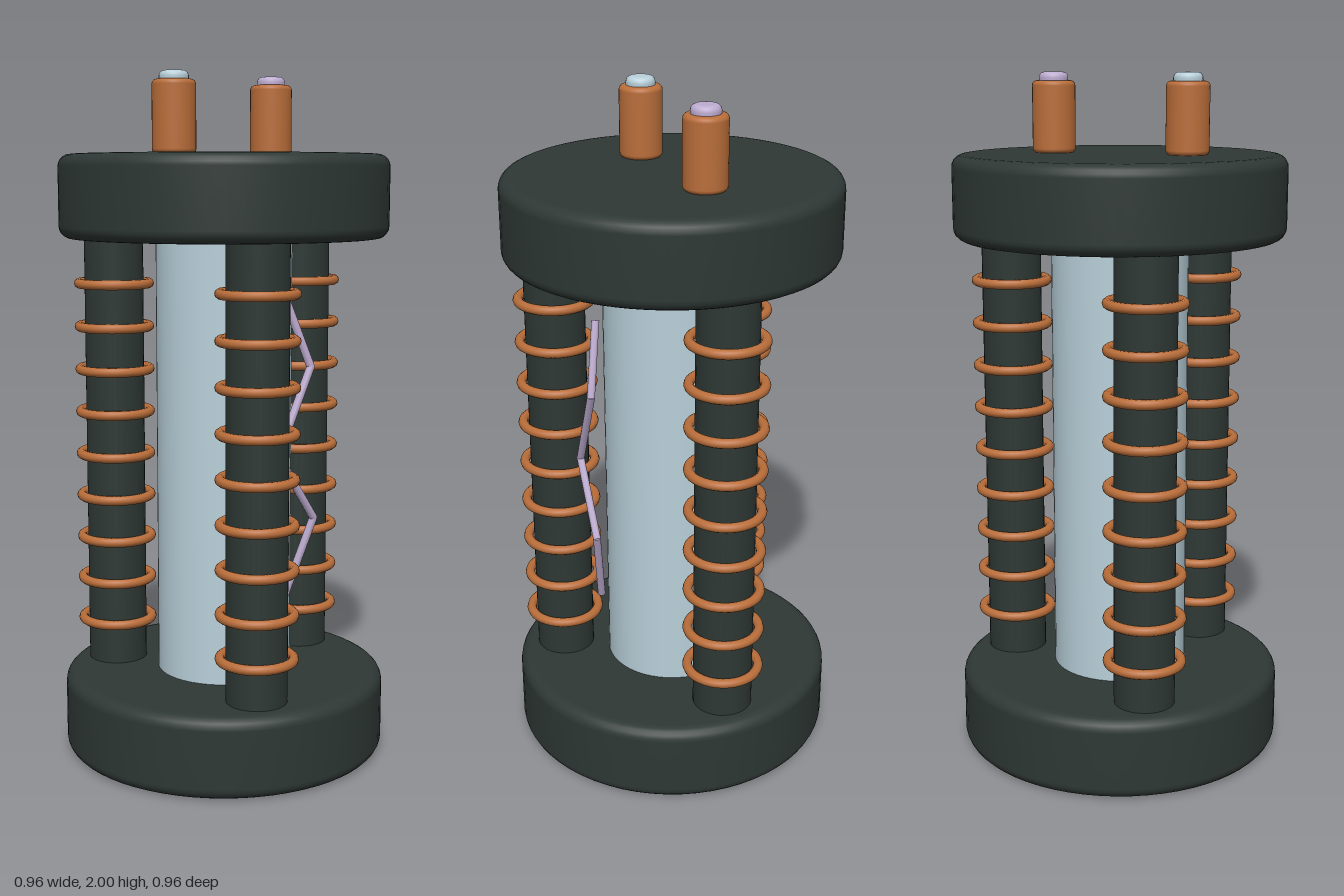
import * as THREE from 'three';

const mat = (name, color) => {
  const m = new THREE.MeshStandardMaterial({ color });
  m.name = name;
  return m;
};

// Disc with rounded top and bottom edges, standing on y = 0
function roundedDisc(radius, height, fillet, segments) {
  const pts = [new THREE.Vector2(0, 0), new THREE.Vector2(radius - fillet - 0.002, 0)];
  for (const [cy, start] of [[fillet, -Math.PI / 2], [height - fillet, 0]]) {
    for (let i = 0; i <= 5; i++) {
      const a = start + (i / 5) * Math.PI / 2;
      pts.push(new THREE.Vector2(radius - fillet + fillet * Math.cos(a), cy + fillet * Math.sin(a)));
    }
  }
  pts.push(new THREE.Vector2(radius - fillet - 0.002, height), new THREE.Vector2(0, height));
  return new THREE.LatheGeometry(pts, segments);
}

export function createModel() {
  const group = new THREE.Group();
  const dark = mat('dark casing', 0x2e3835);
  const copper = mat('copper', 0xba6e3a);
  const glass = mat('pale glass', 0xb9d0da);
  const lilac = mat('lilac spark', 0xbdacd0);

  const add = (name, geometry, material, x, y, z, parent = group) => {
    const mesh = new THREE.Mesh(geometry, material);
    mesh.name = name;
    mesh.position.set(x, y, z);
    parent.add(mesh);
    return mesh;
  };

  // End caps and the central tube
  const cap = roundedDisc(0.48, 0.24, 0.035, 64);
  add('baseCap', cap, dark, 0, 0, 0);
  add('topCap', cap, dark, 0, 1.535, 0);
  add('glassTube', new THREE.CylinderGeometry(0.2, 0.2, 1.34, 48), glass, 0, 0.89, 0);

  // Three posts, each wrapped in nine copper rings
  const postGeo = new THREE.CylinderGeometry(0.088, 0.088, 1.34, 32);
  const ringGeo = new THREE.TorusGeometry(0.105, 0.0145, 10, 40).rotateX(Math.PI / 2);
  for (let p = 0; p < 3; p++) {
    const a = p * Math.PI * 2 / 3;
    const coil = new THREE.Group();
    coil.name = 'coilPost' + (p + 1);
    coil.position.set(0.34 * Math.cos(a), 0, 0.34 * Math.sin(a));
    group.add(coil);
    add('post', postGeo, dark, 0, 0.89, 0, coil);
    for (let i = 0; i < 9; i++) add('ring', ringGeo, copper, 0, 0.365 + i * 0.129, 0, coil);
  }

  // Terminals with contact buttons
  const terminalGeo = roundedDisc(0.062, 0.205, 0.014, 32);
  const buttonGeo = roundedDisc(0.042, 0.04, 0.016, 24);
  for (const side of [-1, 1]) {
    add('terminal', terminalGeo, copper, side * 0.2, 1.773, 0);
    add('contactButton', buttonGeo, side < 0 ? glass : lilac, side * 0.2, 1.962, 0);
  }

  // Zigzag spark in front of the tube
  const path = [[0, 1.375, 0.24], [0.062, 1.175, 0.285], [-0.06, 0.93, 0.272], [0.08, 0.73, 0.285], [0, 0.49, 0.24]]
    .map(p => new THREE.Vector3(...p));
  const up = new THREE.Vector3(0, 1, 0);
  for (let i = 0; i < path.length - 1; i++) {
    const dir = path[i].clone().sub(path[i + 1]);
    const mid = path[i].clone().add(path[i + 1]).multiplyScalar(0.5);
    const geo = new THREE.CylinderGeometry(0.012, 0.012, dir.length() + 0.006, 8);
    const seg = add('sparkSegment', geo, lilac, mid.x, mid.y, mid.z);
    seg.quaternion.setFromUnitVectors(up, dir.normalize());
  }
  return group;
}
